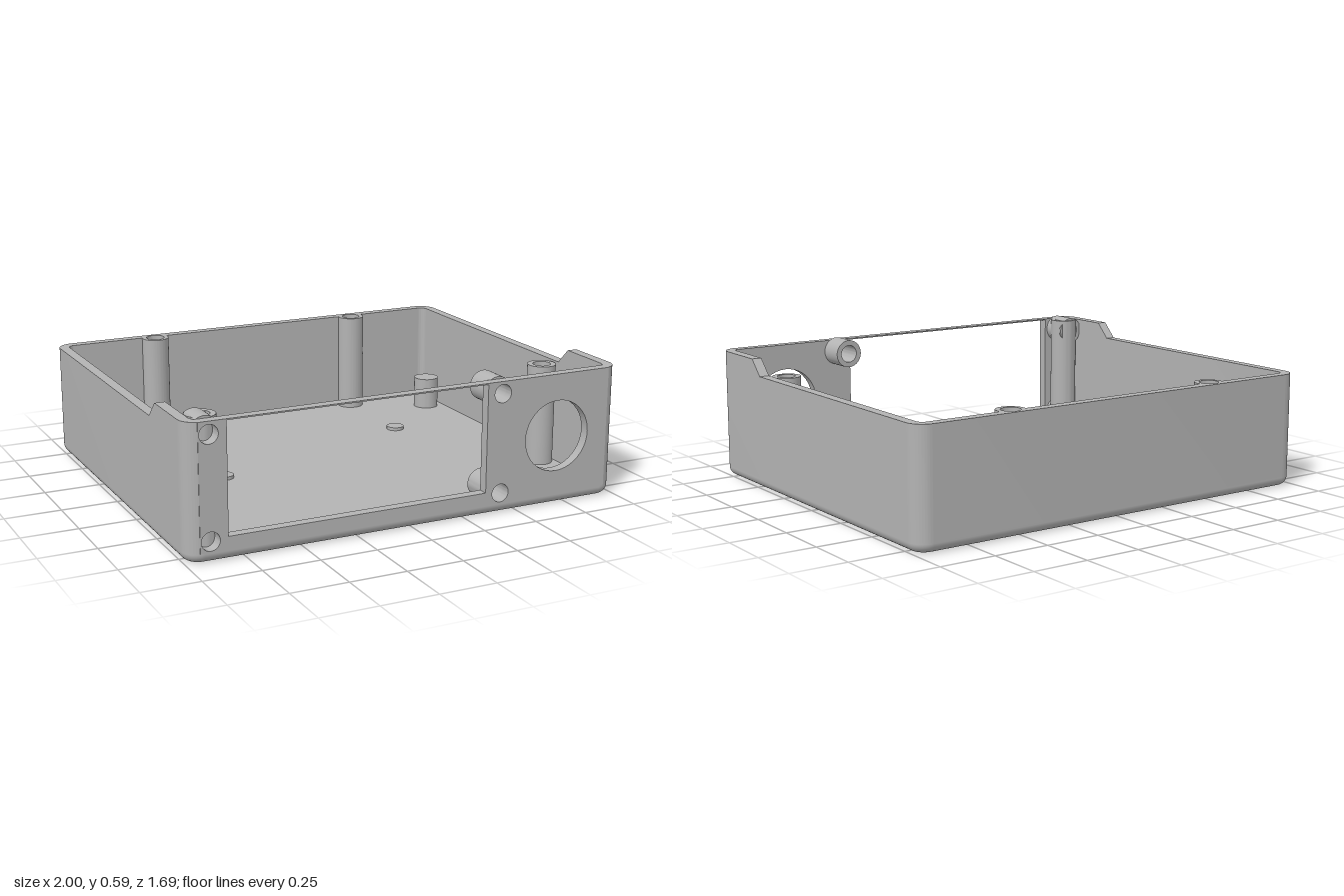
import * as THREE from 'three';
import { toCreasedNormals } from 'three/addons/utils/BufferGeometryUtils.js';

const PI = Math.PI;
const CX = 0.925, CZ = 0.77;      // corner arc centres
const R = 0.075, RI = 0.03;       // outer and inner corner radii
const FLOOR = 0.045, LOW = 0.51, HIGH = 0.58;
const END = 0.945;                // where the front plate meets the corners

export function createModel() {
  const group = new THREE.Group();
  const grey = new THREE.MeshStandardMaterial({ color: 0xb3b3b3 });

  const add = (name, geo) => {
    const mesh = new THREE.Mesh(geo, grey);
    mesh.name = name;
    group.add(mesh);
    return mesh;
  };
  const extrude = (shape, depth) => toCreasedNormals(
    new THREE.ExtrudeGeometry(shape, { depth, bevelEnabled: false, curveSegments: 20 }), 0.5);
  // Plan shapes are drawn in (x, -z) and raised from y0 to y1
  const raise = (shape, y0, y1) => extrude(shape, y1 - y0).rotateX(-PI / 2).translate(0, y0, 0);
  const circle = (x, y, r) => new THREE.Path().absarc(x, y, r, 0, PI * 2, false);
  const ring = (x, y, r, hole) => {
    const s = new THREE.Shape().absarc(x, y, r, 0, PI * 2, false);
    if (hole) s.holes.push(circle(x, y, hole));
    return s;
  };

  // Floor tray with a rounded lower edge, made of stacked rounded rectangles
  const F = 0.04, STEPS = 8, ARC = 10;
  const loop = (inset) => {
    const pts = [];
    [[1, 1], [-1, 1], [-1, -1], [1, -1]].forEach(([sx, sz], q) => {
      for (let i = 0; i <= ARC; i++) {
        const a = (q + i / ARC) * PI / 2, r = R - inset;
        pts.push({ x: sx * CX + r * Math.cos(a), z: sz * CZ + r * Math.sin(a), a });
      }
    });
    return pts;
  };
  const pos = [], nor = [], idx = [], n = 4 * (ARC + 1);
  for (let k = -1; k <= STEPS; k++) {
    const t = Math.max(k, 0) / STEPS * PI / 2;
    const y = k < 0 ? FLOOR : F * (1 - Math.sin(t));
    for (const p of loop(F * (1 - Math.cos(t)))) {
      pos.push(p.x, y, p.z);
      nor.push(Math.cos(p.a) * Math.cos(t), -Math.sin(t), Math.sin(p.a) * Math.cos(t));
    }
  }
  for (let k = 0; k <= STEPS; k++) {
    for (let i = 0; i < n; i++) {
      const a = k * n + i, b = k * n + (i + 1) % n;
      idx.push(a, b, a + n, b, b + n, a + n);
    }
  }
  const edge = new THREE.BufferGeometry();
  edge.setAttribute('position', new THREE.Float32BufferAttribute(pos, 3));
  edge.setAttribute('normal', new THREE.Float32BufferAttribute(nor, 3));
  edge.setIndex(idx);
  add('baseEdge', edge);
  const plan = (inset) => new THREE.Shape(loop(inset).map((p) => new THREE.Vector2(p.x, p.z)));
  add('floor', new THREE.ShapeGeometry(plan(0)).rotateX(-PI / 2).translate(0, FLOOR, 0));
  add('underside', new THREE.ShapeGeometry(plan(F)).rotateX(PI / 2));

  // Side and back walls, with the two hollow screw posts merged into the back
  const aOut = Math.acos((END - CX) / R), aIn = Math.acos((END - CX) / RI);
  const postX = 0.525, postY = 0.785, postR = 0.063, HOLE = 0.042;
  const bite = Math.asin((0.8 - postY) / postR);
  const walls = new THREE.Shape();
  walls.absarc(CX, -CZ, R, -aOut, 0, false);
  walls.absarc(CX, CZ, R, 0, PI / 2, false);
  walls.absarc(-CX, CZ, R, PI / 2, PI, false);
  walls.absarc(-CX, -CZ, R, PI, PI + aOut, false);
  walls.absarc(-CX, -CZ, RI, PI + aIn, PI, true);
  walls.absarc(-CX, CZ, RI, PI, PI / 2, true);
  for (const x of [-postX, postX]) {
    walls.absarc(x, postY, postR, PI - bite, PI * 2 + bite, false);
    walls.holes.push(circle(x, postY, HOLE));
  }
  walls.absarc(CX, CZ, RI, PI / 2, 0, true);
  walls.absarc(CX, -CZ, RI, 0, -aIn, true);
  add('sideAndBackWalls', raise(walls, FLOOR, LOW));

  // Raised, sloping wall tops beside the front, and their rounded corners
  const corner = new THREE.Shape();
  corner.absarc(CX, -CZ, R, -aOut, 0, false);
  corner.absarc(CX, -CZ, RI, 0, -aIn, true);
  const cornerPts = corner.getPoints(20);
  const slope = new THREE.Shape([[0.45, LOW], [CZ, LOW], [CZ, HIGH], [0.52, HIGH]]
    .map(([z, y]) => new THREE.Vector2(z, y)));
  for (const s of [1, -1]) {
    const side = s > 0 ? 'left' : 'right';
    const mirrored = new THREE.Shape(cornerPts.map((p) => new THREE.Vector2(p.x * s, p.y)));
    add(side + 'FrontCorner', raise(mirrored, LOW, HIGH));
    add(side + 'RaisedWall', extrude(slope, 0.045).rotateY(-PI / 2)
      .translate(s > 0 ? 1 : -0.955, 0, 0));
  }

  // Front wall with display window, round opening and four screw holes
  const rect = (C, x0, y0, x1, y1) => new C([[x0, y0], [x1, y0], [x1, y1], [x0, y1]]
    .map(([x, y]) => new THREE.Vector2(x, y)));
  const front = rect(THREE.Shape, -END, FLOOR, END, HIGH);
  front.holes.push(rect(THREE.Path, -0.825, 0.1, 0.345, 0.574), circle(0.692, 0.307, 0.157));
  const screws = [[-0.9, 0.09], [-0.9, 0.527], [0.417, 0.09], [0.417, 0.527]];
  for (const [x, y] of screws) front.holes.push(circle(x, y, 0.04));
  add('frontWall', extrude(front, 0.045).translate(0, 0, 0.8));

  // Hollow bosses behind the front screw holes
  for (const [x, y] of screws) {
    add('frontBoss', extrude(ring(x, y, 0.064, 0.04), 0.12).translate(0, 0, 0.682));
  }

  // Free-standing hollow lid posts
  add('rightLidPost', raise(ring(-0.89, -0.73, 0.064, 0.04), FLOOR, HIGH));
  add('leftLidPost', raise(ring(0.882, -0.425, 0.064, 0.04), FLOOR, 0.505));

  // Short solid board supports
  for (const x of [-0.868, 0.868]) {
    for (const z of [-0.603, 0.235]) add('boardSupport', raise(ring(x, -z, 0.06), FLOOR, 0.195));
  }

  // Low locating discs on the floor
  for (const [x, z] of [[-0.507, 0.025], [0.53, -0.305]]) {
    add('floorDisc', raise(ring(x, -z, 0.041), FLOOR, 0.06));
  }
  return group;
}
